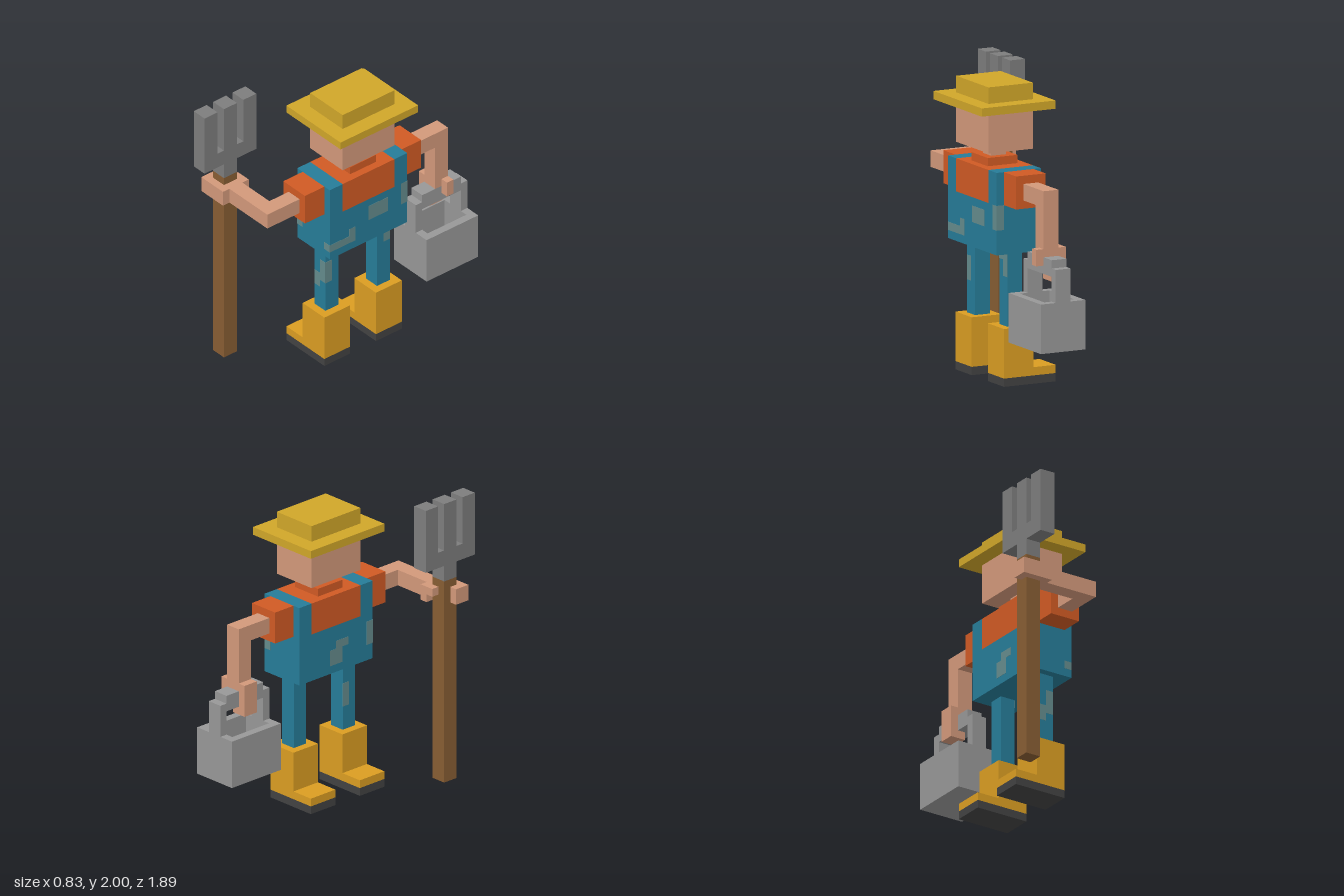
import * as THREE from 'three';

const U = 1 / 18; // one grid cell
const COLORS = {
  skin: 0xd2987a, shirt: 0xd05a24, denim: 0x267c98, patch: 0x648b8c, straw: 0xd0a629,
  boot: 0xda9d22, sole: 0x424242, wood: 0x875d33, iron: 0x7d7d7d, tin: 0x979797,
};
const materials = {};
for (const key in COLORS) {
  materials[key] = new THREE.MeshStandardMaterial({ color: COLORS[key], flatShading: true });
}

// Box between grid limits; x counts from the toe side, y from the ground, z from the middle
function block(parent, name, color, [x0, x1], [y0, y1], [z0, z1]) {
  const geo = new THREE.BoxGeometry((x1 - x0) * U, (y1 - y0) * U, (z1 - z0) * U);
  const mesh = new THREE.Mesh(geo, materials[color]);
  mesh.position.set(((x0 + x1) / 2 - 7.5) * U, ((y0 + y1) / 2) * U, ((z0 + z1) / 2) * U);
  mesh.name = name;
  parent.add(mesh);
  return mesh;
}

function group(parent, name) {
  const g = new THREE.Group();
  g.name = name;
  parent.add(g);
  return g;
}

// Thin worn spot; one limit pair is a single number, the face it lies on
function patch(parent, ...limits) {
  const e = 0.03;
  const full = limits.map((l) => (typeof l === 'number' ? [l - e, l + e] : l));
  block(parent, 'wornPatch', 'patch', ...full);
}

export function createModel() {
  const model = new THREE.Group();
  model.name = 'farmer';

  // Head and hat
  const head = group(model, 'head');
  block(head, 'neck', 'skin', [9, 11], [27, 28], [-1, 1]);
  block(head, 'face', 'skin', [7, 13], [28, 33], [-4, 4]);
  block(head, 'hatBrim', 'straw', [5, 15], [33, 34], [-6, 6]);
  block(head, 'hatCrown', 'straw', [7, 13], [34, 36], [-4, 4]);

  // Torso: dungarees with two straps over the shirt
  const torso = group(model, 'torso');
  block(torso, 'collar', 'shirt', [8, 12], [26, 27], [-2, 2]);
  block(torso, 'shirt', 'shirt', [7, 13], [22, 26], [-4, 4]);
  block(torso, 'dungarees', 'denim', [7, 13], [16, 22], [-6, 6]);
  block(torso, 'strap', 'denim', [7, 13], [22, 26], [4, 6]);
  block(torso, 'strap', 'denim', [7, 13], [22, 26], [-6, -4]);
  patch(torso, 13, [17, 18], [2, 6]);
  patch(torso, 13, [18, 19], [2, 3]);
  patch(torso, 13, [19, 21], [-3, 0]);
  patch(torso, 13, [19, 22], [-6, -5]);
  patch(torso, 7, [17, 19], [-1, 1]);
  patch(torso, 7, [19, 20], [0, 2]);
  patch(torso, 7, [18, 21], [5, 6]);
  patch(torso, [7, 8], [18, 21], 6);
  patch(torso, [12, 13], [17, 18], 6);
  patch(torso, [12, 13], [19, 22], -6);

  // Legs and boots
  for (const s of [-1, 1]) {
    const span = (a, b) => [a * s, b * s].sort((p, q) => p - q);
    const leg = group(model, 'leg');
    block(leg, 'trouserLeg', 'denim', [9, 11], [7, 16], span(3, 5));
    block(leg, 'bootShaft', 'boot', [8, 12], [1, 7], span(2, 6));
    block(leg, 'bootToe', 'boot', [5, 8], [1, 2], span(2, 6));
    block(leg, 'sole', 'sole', [5, 12], [0, 1], span(2, 6));
    block(model, 'sleeve', 'shirt', [8, 12], [22, 26], span(6, 9));
  }
  patch(model, 11, [11, 14], [4, 5]);
  patch(model, [10, 11], [11, 14], 5);
  patch(model, [9, 10], [10, 12], 5);
  patch(model, 11, [13, 16], [-5, -4]);
  patch(model, 11, [15, 16], [-4, -3]);
  patch(model, 9, [10, 13], [3, 4]);

  // Arm reaching forward, hand wrapped round the fork
  const forkArm = group(model, 'forkArm');
  block(forkArm, 'upperArm', 'skin', [9, 11], [23, 25], [9, 12]);
  block(forkArm, 'forearm', 'skin', [4, 11], [23, 25], [12, 14]);
  block(forkArm, 'palm', 'skin', [3, 4], [23, 25], [11, 15]);
  block(forkArm, 'fingers', 'skin', [0, 3], [23, 25], [14, 15]);
  block(forkArm, 'fingerTips', 'skin', [0, 1], [23, 25], [13, 14]);
  block(forkArm, 'thumb', 'skin', [2, 3], [24, 25], [11, 12]);

  // Pitchfork
  const fork = group(model, 'pitchfork');
  block(fork, 'shaft', 'wood', [1, 3], [0, 26], [12, 14]);
  block(fork, 'socket', 'iron', [1, 3], [26, 28], [12, 14]);
  block(fork, 'crossbar', 'iron', [1, 3], [28, 30], [9, 17]);
  for (const z of [9, 12, 15]) block(fork, 'tine', 'iron', [1, 3], [30, 36], [z, z + 2]);

  // Arm hanging down, hand wrapped round the bucket handle
  const bucketArm = group(model, 'bucketArm');
  block(bucketArm, 'upperArm', 'skin', [9, 11], [23, 25], [-12, -9]);
  block(bucketArm, 'forearm', 'skin', [9, 11], [17, 25], [-14, -12]);
  block(bucketArm, 'fingers', 'skin', [8, 9], [14, 18], [-14, -12]);
  block(bucketArm, 'fingerTips', 'skin', [9, 10], [14, 15], [-14, -12]);
  block(bucketArm, 'thumb', 'skin', [11, 12], [16, 18], [-14, -13]);

  // Hollow bucket with a bar handle
  const bucket = group(model, 'bucket');
  block(bucket, 'bucketFloor', 'tin', [8, 12], [6, 7], [-16, -10]);
  for (const x of [7, 12]) block(bucket, 'longWall', 'tin', [x, x + 1], [6, 12], [-17, -9]);
  for (const z of [-17, -10]) {
    block(bucket, 'endWall', 'tin', [8, 12], [6, 12], [z, z + 1]);
    block(bucket, 'handlePost', 'tin', [9, 11], [12, 16], [z, z + 1]);
  }
  block(bucket, 'handleBar', 'tin', [9, 11], [15, 17], [-16, -10]);

  return model;
}
